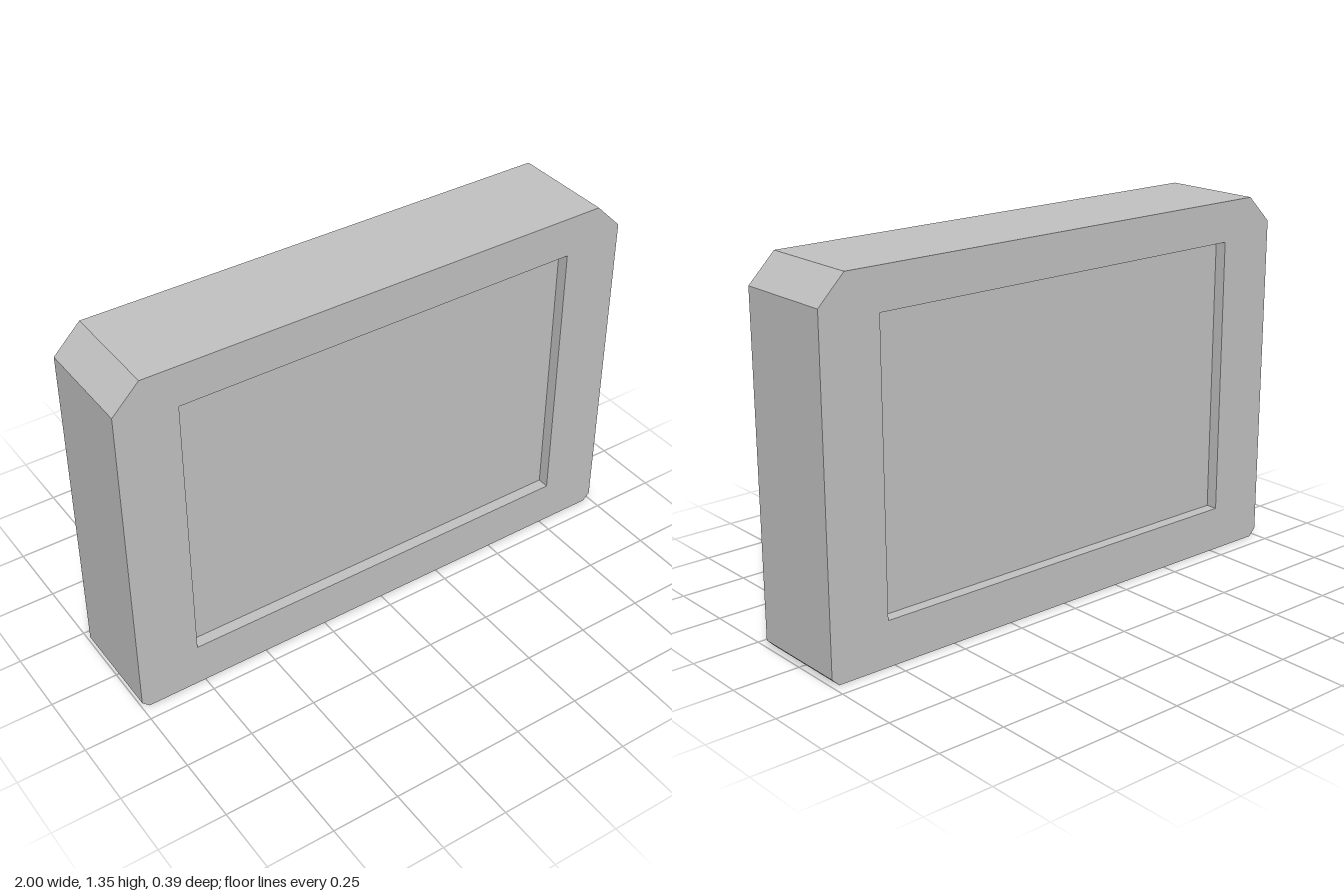
import * as THREE from 'three';

const DEPTH = 0.386; // overall thickness
const RECESS = 0.044; // how far each panel sits below the frame
const HOLE = { x: 0.773, bottom: 0.167, top: 1.203 };

const polygon = (points) => points.map(([x, y]) => new THREE.Vector2(x, y));

export function createModel() {
  const group = new THREE.Group();
  group.name = 'recessedBlock';
  const grey = new THREE.MeshStandardMaterial({ color: 0xc0c0c0 });
  grey.name = 'grey';

  // Frame: large chamfers on the top corners, small ones at the bottom
  const outline = new THREE.Shape(polygon([
    [-0.973, 0], [0.973, 0], [1, 0.027], [1, 1.253],
    [0.9, 1.353], [-0.9, 1.353], [-1, 1.253], [-1, 0.027],
  ]));
  outline.holes.push(new THREE.Path(polygon([
    [-HOLE.x, HOLE.bottom], [-HOLE.x, HOLE.top], [HOLE.x, HOLE.top], [HOLE.x, HOLE.bottom],
  ])));
  const frameGeometry = new THREE.ExtrudeGeometry(outline, { depth: DEPTH, bevelEnabled: false });
  frameGeometry.translate(0, 0, -DEPTH / 2);
  const frame = new THREE.Mesh(frameGeometry, grey);
  frame.name = 'frame';
  group.add(frame);

  // Sunken panels closing the opening on the front and back
  const panelGeometry = new THREE.PlaneGeometry(HOLE.x * 2, HOLE.top - HOLE.bottom);
  for (const side of [1, -1]) {
    const panel = new THREE.Mesh(panelGeometry, grey);
    panel.name = side > 0 ? 'frontPanel' : 'backPanel';
    panel.position.set(0, (HOLE.top + HOLE.bottom) / 2, side * (DEPTH / 2 - RECESS));
    if (side < 0) panel.rotation.y = Math.PI;
    group.add(panel);
  }
  return group;
}
